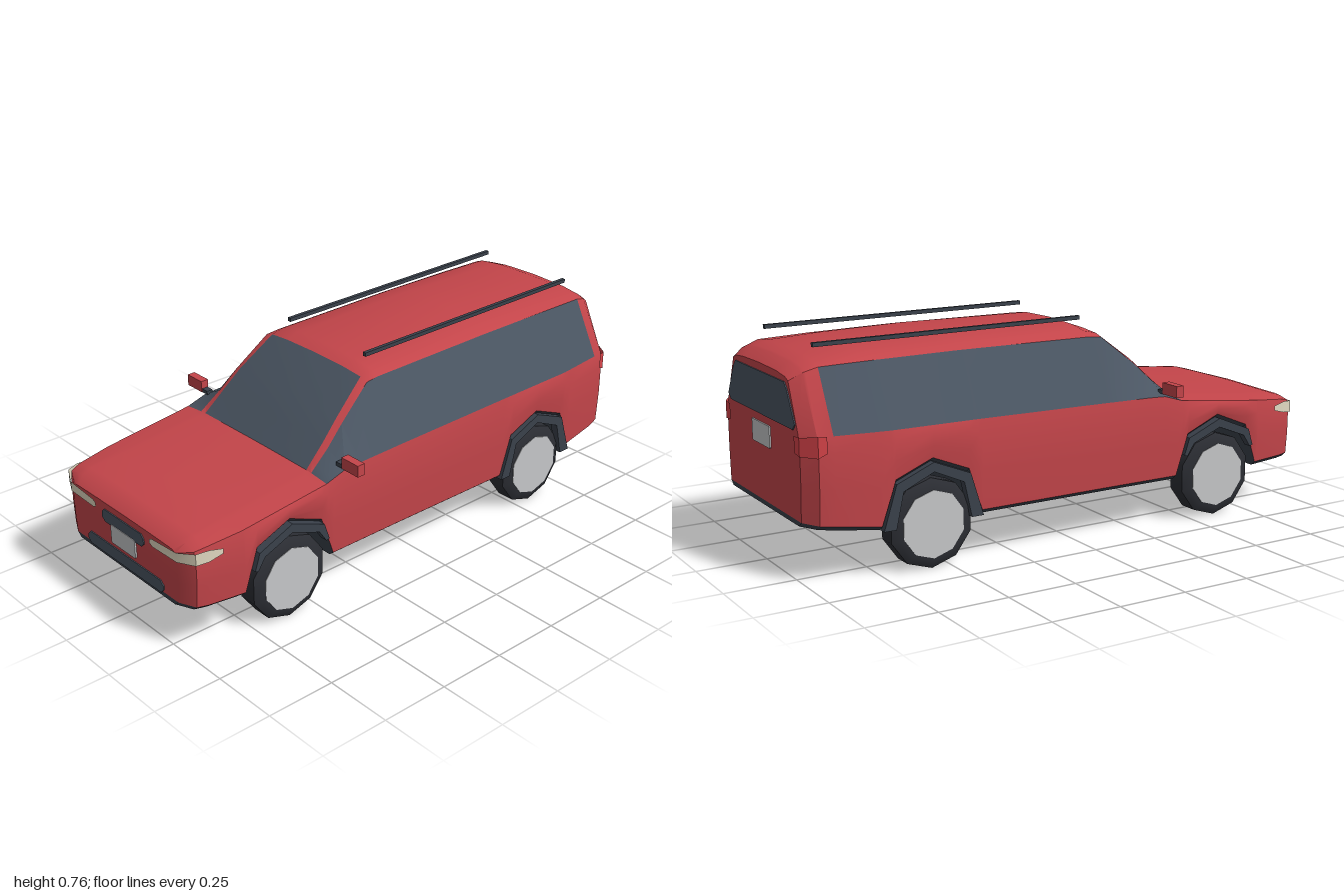
import * as THREE from 'three';
import { toCreasedNormals } from 'three/addons/utils/BufferGeometryUtils.js';

const mat = (name, color, side = THREE.FrontSide) => {
  const m = new THREE.MeshStandardMaterial({ color, side });
  m.name = name;
  return m;
};

// Half-section of the upper body by z: half width, belt height,
// glass top x,y, pillar inner edge x,y, roof shoulder x,y, centre line y
const UPPER = [
  [1, .30, .368, .28, .375, .26, .377, .15, .379, .38],
  [.97, .36, .387, .305, .398, .28, .40, .15, .402, .405],
  [.93, .372, .396, .31, .408, .285, .41, .15, .413, .415],
  [.8, .388, .41, .31, .42, .285, .422, .15, .425, .428],
  [.45, .392, .45, .305, .458, .28, .46, .15, .461, .462],
  [.37, .392, .474, .297, .52, .272, .532, .15, .538, .54],
  [.3, .392, .477, .288, .585, .262, .598, .15, .605, .61],
  [.17, .392, .479, .269, .69, .237, .70, .15, .707, .71],
  [.12, .392, .48, .267, .695, .235, .712, .15, .725, .73],
  [-.4, .396, .488, .268, .70, .235, .717, .15, .733, .738],
  [-.72, .396, .49, .267, .698, .235, .713, .15, .727, .731],
  [-.91, .378, .492, .265, .695, .235, .707, .15, .718, .722],
  [-.96, .365, .492, .255, .68, .225, .69, .15, .70, .705],
  [-1, .31, .492, .235, .655, .21, .665, .14, .672, .675],
];
const AXLES = [.61, -.57];
// Height of the lower edge by z, rising over the wheels
const arch = (c) => [[c + .185, .16], [c + .135, .31], [c, .365], [c - .135, .31], [c - .185, .16]];
const LOWER = [[1, .168], [.97, .165], ...arch(AXLES[0]), ...arch(AXLES[1]), [-.95, .185], [-1, .19]];

function sample(table, z) {
  let i = 0;
  while (i < table.length - 2 && z < table[i + 1][0]) i++;
  const a = table[i], b = table[i + 1], t = (z - a[0]) / (b[0] - a[0]);
  return a.slice(1).map((v, k) => v + (b[k + 1] - v) * t);
}

// Section points from the lower edge up to the roof centre
function section(z) {
  const [w, belt, tx, ty, px, py, rx, ry, cy] = sample(UPPER, z);
  const [low] = sample(LOWER, z);
  return [
    [w - .025, low], [w - .006, low + .016], [w, low + (belt - low) * .45],
    [w, low + (belt - low) * .82], [w - .008, belt], [tx, ty], [px, py], [rx, ry], [0, cy],
  ].map(([x, y]) => new THREE.Vector3(x, y, z));
}

const flip = (v) => new THREE.Vector3(-v.x, v.y, v.z);

function addQuad(out, a, b, c, d) {
  for (const [p, q, r] of [[a, b, c], [a, c, d]]) {
    const area = q.clone().sub(p).cross(r.clone().sub(p)).length();
    if (area > 1e-9) for (const v of [p, q, r]) out.push(v.x, v.y, v.z);
  }
}

function meshFrom(positions, material, name, crease = .6) {
  const g = new THREE.BufferGeometry();
  g.setAttribute('position', new THREE.Float32BufferAttribute(positions, 3));
  const mesh = new THREE.Mesh(toCreasedNormals(g, crease), material);
  mesh.name = name;
  return mesh;
}

export function createModel() {
  const car = new THREE.Group();
  car.name = 'estateCar';
  const paint = mat('red paint', 0xc4454a);
  const glass = mat('tinted glass', 0x4a5562);
  const trim = mat('dark trim', 0x3a414b);
  const rubber = mat('tyre rubber', 0x2c2e34);
  const silver = mat('light grey', 0xc6c7c9);
  const lamp = mat('headlight cream', 0xe2dac2, THREE.DoubleSide);
  const tail = mat('tail light red', 0xd8444a, THREE.DoubleSide);

  const add = (geometry, material, name, x = 0, y = 0, z = 0) => {
    const m = new THREE.Mesh(geometry, material);
    m.name = name;
    m.position.set(x, y, z);
    car.add(m);
    return m;
  };

  // Body shell lofted from front to back
  const zs = [...new Set([...UPPER, ...LOWER].map((r) => +r[0].toFixed(4)))].sort((a, b) => b - a);
  const rows = zs.map(section);
  const shell = [], windows = [], screen = [], under = [];
  for (let i = 0; i < rows.length - 1; i++) {
    const A = rows[i], B = rows[i + 1], mid = (zs[i] + zs[i + 1]) / 2;
    addQuad(under, A[0], flip(A[0]), flip(B[0]), B[0]);
    for (let j = 0; j < 8; j++) {
      let out = shell;
      if (j === 0) out = under;
      else if (j === 4 && mid < .45 && mid > -.91) out = windows;
      else if (j >= 6 && mid < .45 && mid > .17) out = screen;
      addQuad(out, A[j], B[j], B[j + 1], A[j + 1]);
      addQuad(out, flip(A[j + 1]), flip(B[j + 1]), flip(B[j]), flip(A[j]));
    }
  }
  // Nose and tail faces
  const F = rows[0], R = rows[rows.length - 1];
  for (let j = 0; j < 8; j++) {
    const out = j === 0 ? under : shell;
    addQuad(out, F[j], F[j + 1], flip(F[j + 1]), flip(F[j]));
    addQuad(out, flip(R[j]), flip(R[j + 1]), R[j + 1], R[j]);
  }
  car.add(meshFrom(shell, paint, 'bodyShell'));
  car.add(meshFrom(windows, glass, 'sideWindows'));
  car.add(meshFrom(screen, glass, 'windscreen'));
  car.add(meshFrom(under, trim, 'underside', .3));

  // Thin plates on the nose and tail, with chamfered corners
  const plate = (bottom, top, y0, y1, c, z, material, name) => {
    const pts = [[-bottom + c, y0], [bottom - c, y0], [bottom, y0 + c], [top, y1 - c],
      [top - c, y1], [-top + c, y1], [-top, y1 - c], [-bottom, y0 + c]];
    const s = new THREE.Shape(pts.map(([x, y]) => new THREE.Vector2(x, y)));
    add(new THREE.ExtrudeGeometry(s, { depth: .006, bevelEnabled: false }), material, name, 0, 0, z);
  };
  plate(.12, .12, .308, .355, .014, .998, glass, 'upperGrille');
  plate(.22, .22, .18, .226, .016, .998, glass, 'lowerGrille');
  plate(.07, .07, .244, .314, .004, 1.0, silver, 'frontPlate');
  plate(.285, .228, .503, .648, .02, -1.004, glass, 'rearWindow');
  plate(.075, .075, .4, .475, .004, -1.005, silver, 'rearPlate');

  // Lights wrapped round the corners: x, z, lower y, upper y
  const wrap = (pts, material, name) => {
    for (const s of [1, -1]) {
      const out = [];
      for (let i = 0; i < pts.length - 1; i++) {
        const [a, b] = [pts[i], pts[i + 1]];
        const v = (p, k) => new THREE.Vector3(p[0] * s, p[k], p[1]);
        const q = [v(a, 2), v(b, 2), v(b, 3), v(a, 3)];
        if ((s > 0) !== (a[1] > 0)) q.reverse();
        addQuad(out, ...q);
      }
      car.add(meshFrom(out, material, name + (s > 0 ? 'Left' : 'Right')));
    }
  };
  wrap([[.155, 1.004, .345, .358], [.17, 1.004, .337, .366], [.304, 1.004, .341, .376],
    [.366, .974, .343, .386], [.379, .93, .348, .39], [.386, .88, .362, .38]], lamp, 'headlight');
  wrap([[.275, -1.004, .43, .485], [.315, -1.004, .425, .488], [.37, -.963, .425, .495],
    [.377, -.935, .44, .495]], tail, 'tailLight');

  // Wheels: ten-sided tyres with pale discs
  const tyreProfile = [[.10, -.05], [.128, -.05], [.155, -.034], [.155, .034], [.128, .05], [.10, .05]]
    .map(([r, y]) => new THREE.Vector2(r, y));
  const tyre = toCreasedNormals(new THREE.LatheGeometry(tyreProfile, 10, Math.PI / 2), .7).rotateZ(Math.PI / 2);
  const hub = new THREE.CylinderGeometry(.117, .117, .104, 10, 1, false, Math.PI / 2).rotateZ(Math.PI / 2);

  AXLES.forEach((z, k) => {
    const end = k ? 'rear' : 'front';
    // Arch lip outline; the rear one reaches down to the sill
    const half = k
      ? [[.14, .16], [.185, .16], [.137, .312], [0, .368], [0, .335], [.112, .285]]
      : [[.145, .245], [.158, .25], [.137, .312], [0, .368], [0, .335], [.115, .29]];
    const outer = half.slice(1, 4), inner = [half[5], half[0]];
    const neg = ([u, y]) => [-u, y];
    const loop = [...outer, ...outer.slice(0, 2).reverse().map(neg),
      ...inner.slice().reverse().map(neg), half[4], ...inner];
    const lip = new THREE.ExtrudeGeometry(
      new THREE.Shape(loop.map(([u, y]) => new THREE.Vector2(u, y))),
      { depth: .03, bevelEnabled: false }).translate(0, 0, -.015).rotateY(Math.PI / 2);
    for (const s of [1, -1]) {
      const side = s > 0 ? 'Left' : 'Right';
      add(tyre, rubber, end + 'Tyre' + side, s * .34, .155, z);
      add(hub, silver, end + 'Hub' + side, s * .34, .155, z);
      add(lip, trim, end + 'ArchLip' + side, s * .384, 0, z);
    }
  });

  // Roof rails and door mirrors
  for (const s of [1, -1]) {
    const side = s > 0 ? 'Left' : 'Right';
    add(new THREE.BoxGeometry(.014, .014, 1.02), trim, 'roofRail' + side, s * .2, .755, -.39);
    add(new THREE.BoxGeometry(.082, .042, .03), paint, 'mirror' + side, s * .426, .506, .372);
    add(new THREE.BoxGeometry(.04, .014, .024), trim, 'mirrorStalk' + side, s * .375, .491, .372);
  }
  return car;
}
